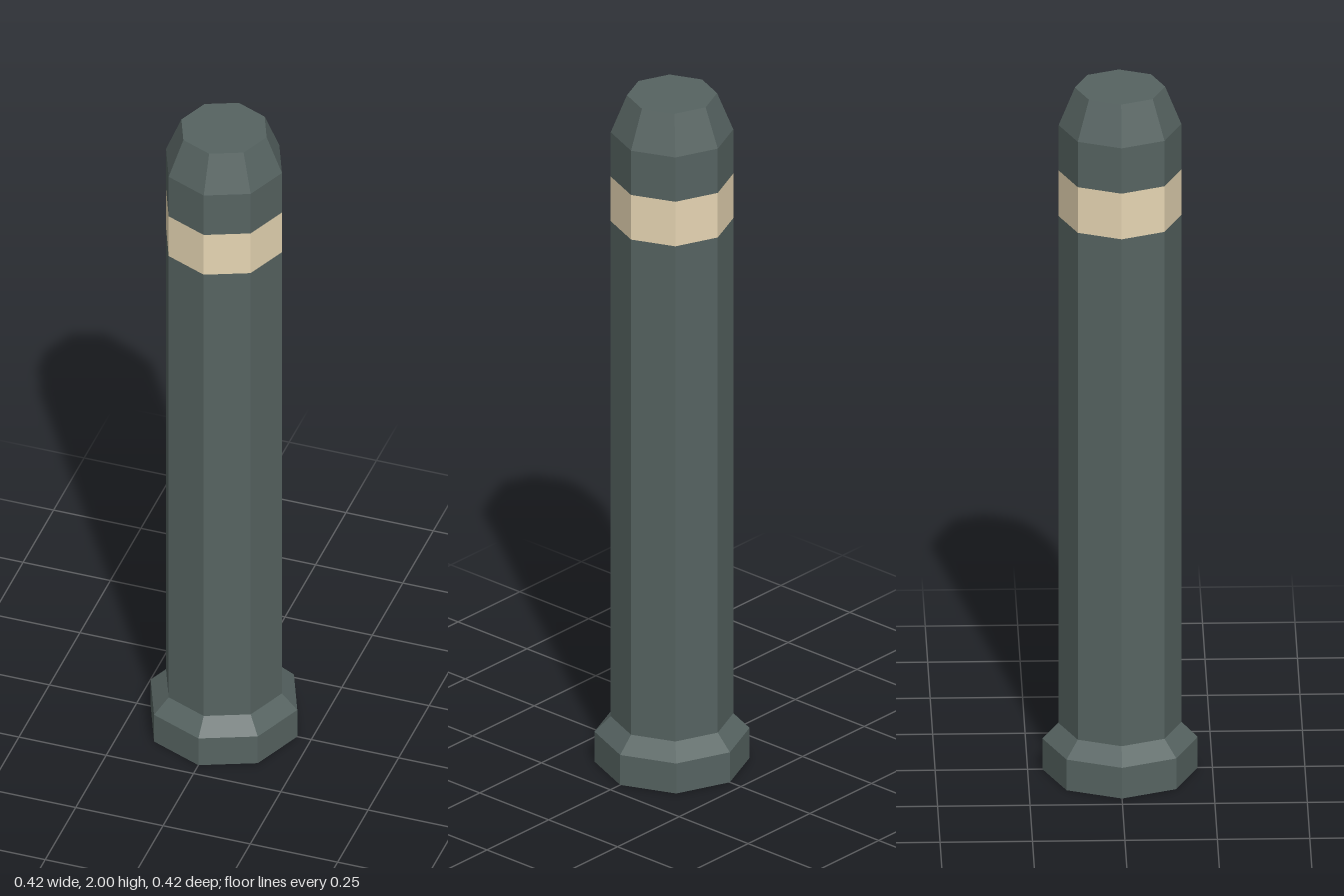
import * as THREE from 'three';

const SIDES = 8;

export function createModel() {
  const group = new THREE.Group();
  const paint = new THREE.MeshStandardMaterial({ color: 0x566361, flatShading: true });
  const stripe = new THREE.MeshStandardMaterial({ color: 0xe6d5b3, flatShading: true });

  // One octagonal section between two heights, open unless it ends the post
  function section(name, y0, y1, r0, r1, material) {
    const mesh = new THREE.Mesh(
      new THREE.CylinderGeometry(r1, r0, y1 - y0, SIDES, 1, true), material);
    mesh.position.y = (y0 + y1) / 2;
    mesh.name = name;
    group.add(mesh);
  }

  // Flat octagonal end, facing up or down
  function cap(name, y, r, up) {
    const mesh = new THREE.Mesh(new THREE.CircleGeometry(r, SIDES), paint);
    mesh.rotation.x = up ? -Math.PI / 2 : Math.PI / 2;
    mesh.position.y = y;
    mesh.name = name;
    group.add(mesh);
  }

  // Foot
  cap('footUnderside', 0, 0.21, false);
  section('foot', 0, 0.09, 0.21, 0.21, paint);
  section('footBevel', 0.09, 0.135, 0.21, 0.166, paint);

  // Post with its coloured band
  section('shaft', 0.135, 1.623, 0.166, 0.166, paint);
  section('band', 1.623, 1.757, 0.166, 0.166, stripe);
  section('collar', 1.757, 1.89, 0.166, 0.166, paint);

  // Tapered head
  section('headTaper', 1.89, 2, 0.166, 0.122, paint);
  cap('headTop', 2, 0.122, true);

  return group;
}
